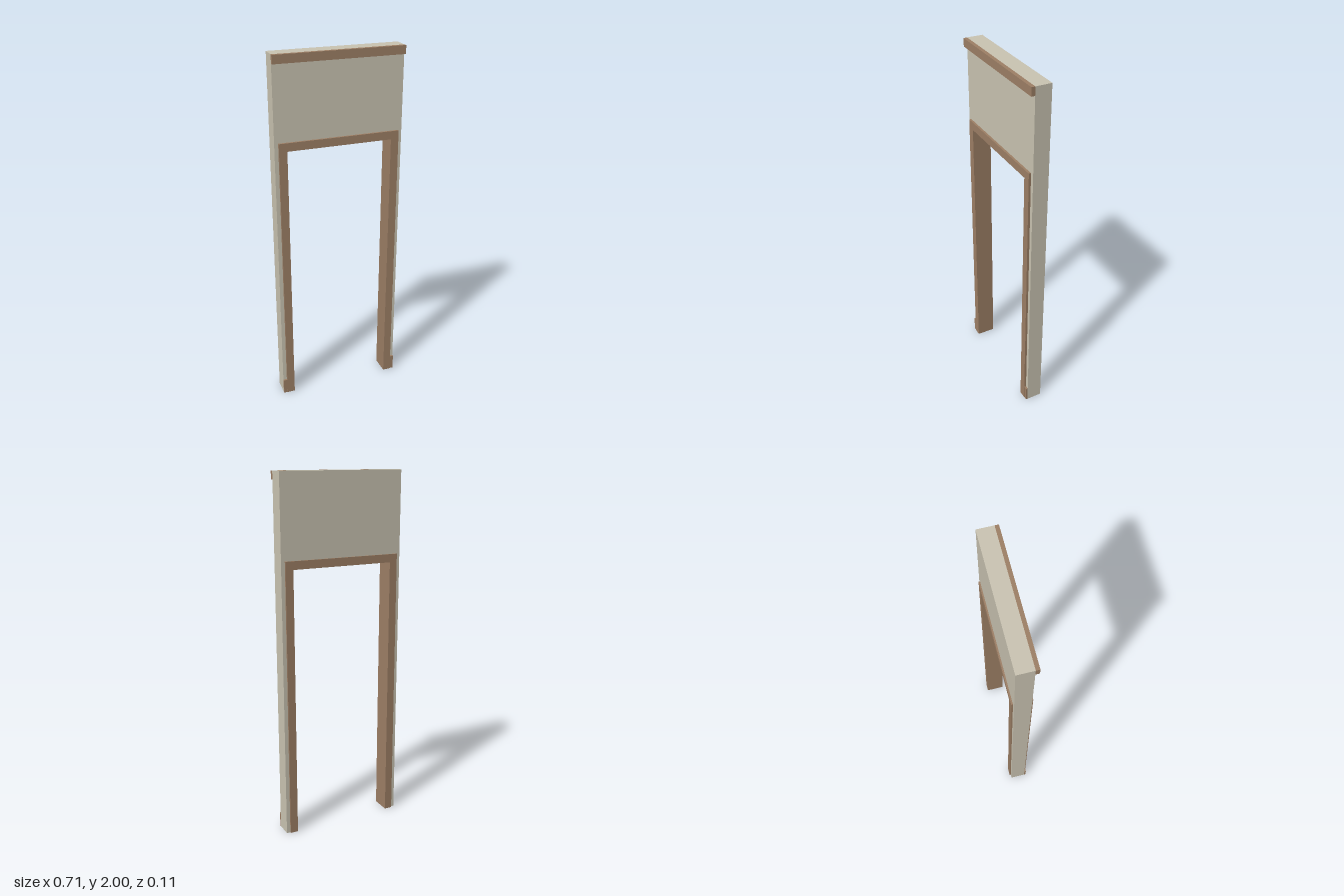
import * as THREE from 'three';

const H = 2, HALF_W = 0.355;          // wall panel
const Z_BACK = -0.05, Z_FRONT = 0.037;
const IN_X = 0.29, IN_Y = 1.505;      // clear opening
const OUT_X = 0.334, OUT_Y = 1.55;    // outer edge of the casing
const LINING = 0.012;

// Upside-down U, open at the floor, extruded between two depths
function archway(name, outX, outY, inX, inY, z0, z1, material) {
  const shape = new THREE.Shape([
    [-outX, 0], [-inX, 0], [-inX, inY], [inX, inY],
    [inX, 0], [outX, 0], [outX, outY], [-outX, outY],
  ].map(([x, y]) => new THREE.Vector2(x, y)));
  const geometry = new THREE.ExtrudeGeometry(shape, { depth: z1 - z0, bevelEnabled: false });
  geometry.translate(0, 0, z0);
  const mesh = new THREE.Mesh(geometry, material);
  mesh.name = name;
  return mesh;
}

// Box given by its limits
function block(name, x0, x1, y0, y1, z0, z1, material) {
  const mesh = new THREE.Mesh(new THREE.BoxGeometry(x1 - x0, y1 - y0, z1 - z0), material);
  mesh.position.set((x0 + x1) / 2, (y0 + y1) / 2, (z0 + z1) / 2);
  mesh.name = name;
  return mesh;
}

export function createModel() {
  const plaster = new THREE.MeshStandardMaterial({ color: 0xcbc5b3 });
  plaster.name = 'plaster';
  const wood = new THREE.MeshStandardMaterial({ color: 0x9e8066 });
  wood.name = 'wood';

  const group = new THREE.Group();
  group.name = 'doorway';

  // Wall with the door opening
  group.add(archway('wall', HALF_W, H, IN_X + LINING, IN_Y + LINING, Z_BACK, Z_FRONT, plaster));

  // Lining inside the opening, casing on both faces
  group.add(archway('jambLining', IN_X + LINING, IN_Y + LINING, IN_X, IN_Y, Z_BACK, Z_FRONT, wood));
  group.add(archway('frontCasing', OUT_X, OUT_Y, IN_X, IN_Y, Z_FRONT, 0.049, wood));
  group.add(archway('backCasing', OUT_X, OUT_Y, IN_X, IN_Y, -0.058, Z_BACK, wood));

  // Crown moulding along the top of the front
  group.add(block('crownMoulding', -HALF_W, HALF_W, 1.955, H, Z_FRONT, 0.057, wood));

  // Short skirting pieces beside the casing
  group.add(block('leftSkirting', OUT_X, HALF_W, 0, 0.088, Z_FRONT, 0.047, wood));
  group.add(block('rightSkirting', -HALF_W, -OUT_X, 0, 0.088, Z_FRONT, 0.047, wood));

  return group;
}
